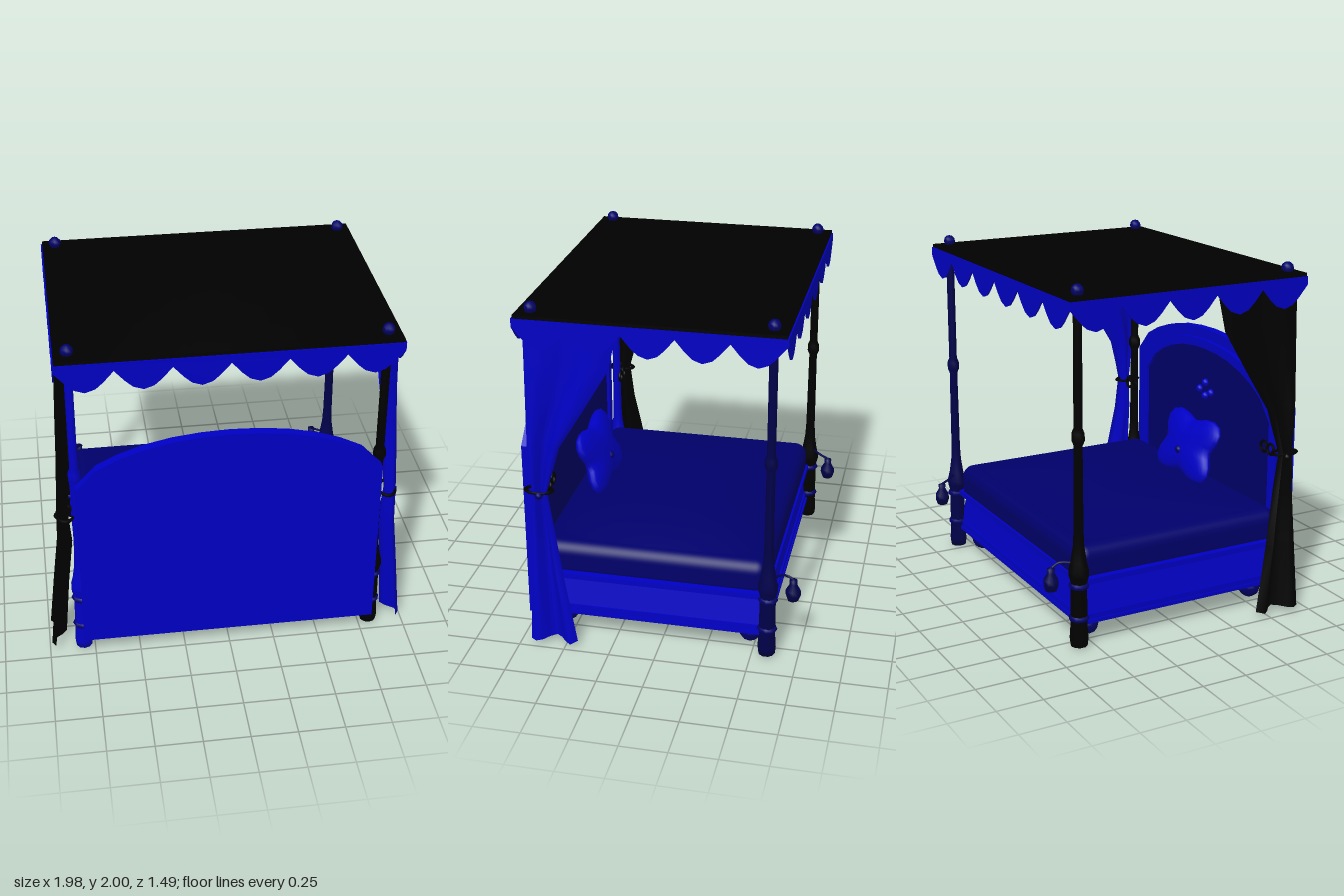
import * as THREE from 'three';
import { RoundedBoxGeometry } from 'three/addons/geometries/RoundedBoxGeometry.js';

export function createModel() {
  const group = new THREE.Group();
  const material = (name, color, side = THREE.FrontSide) => {
    const m = new THREE.MeshStandardMaterial({ color, side });
    m.name = name;
    return m;
  };
  const blue = material('royal blue', 0x0000c4, THREE.DoubleSide);
  const navy = material('navy', 0x00006a);
  const darkNavy = material('dark navy', 0x00004a);
  const black = material('black', 0x000000, THREE.DoubleSide);

  const add = (name, geo, mat, x = 0, y = 0, z = 0) => {
    const m = new THREE.Mesh(geo, mat);
    m.name = name;
    m.position.set(x, y, z);
    group.add(m);
    return m;
  };
  const lathe = (pts, n = 10) => new THREE.LatheGeometry(pts.map(p => new THREE.Vector2(...p)), n);
  const extrude = (shape, depth) => new THREE.ExtrudeGeometry(shape, { depth, bevelEnabled: false });

  // Sheet from a grid: f(u, v) gives a point
  const sheet = (nu, nv, f) => {
    const g = new THREE.PlaneGeometry(1, 1, nu, nv);
    const p = g.attributes.position;
    for (let i = 0; i < p.count; i++) p.setXYZ(i, ...f(p.getX(i) + 0.5, 0.5 - p.getY(i)));
    g.computeVertexNormals();
    return g;
  };

  // Rectangular ring lying flat
  const ring = (name, hx, hz, y0, y1, t, mat, cz) => {
    const rect = (C, a, b) => new C([[-a, -b], [a, -b], [a, b], [-a, b]].map(p => new THREE.Vector2(...p)));
    const s = rect(THREE.Shape, hx, hz);
    s.holes.push(rect(THREE.Path, hx - t, hz - t));
    const g = extrude(s, y1 - y0);
    g.rotateX(-Math.PI / 2);
    return add(name, g, mat, 0, y0, cz);
  };

  // Headboard with arched top
  const arch = [[0.81, 1.11], [0.765, 1.155], [0.7, 1.225], [0.58, 1.285], [0.45, 1.33], [0.3, 1.363], [0.15, 1.38], [0, 1.386]];
  const archPoints = (sx, dy, y0) => {
    const right = [[0.81, y0], ...arch.map(([x, y]) => [x, y - dy])].map(([x, y]) => [x * sx, y]);
    const left = right.slice(0, -1).reverse().map(([x, y]) => [-x, y]);
    return [...right, ...left].map(p => new THREE.Vector2(...p));
  };
  add('headboard', extrude(new THREE.Shape(archPoints(1, 0, 0.1)), 0.05), blue, 0, 0, 0.697);
  const frame = new THREE.Shape(archPoints(0.9, 0.06, 0.36));
  frame.holes.push(new THREE.Path(archPoints(0.83, 0.11, 0.42)));
  add('headboardFrame', extrude(frame, 0.025), blue, 0, 0, 0.672);
  add('headboardPanel', extrude(new THREE.Shape(archPoints(0.84, 0.105, 0.4)), 0.008), navy, 0, 0, 0.689);
  for (const [x, y] of [[-0.06, 1.02], [0.06, 1.02], [0, 1.07], [0, 0.99]]) {
    add('headboardRosette', new THREE.SphereGeometry(0.024, 8, 6), blue, x, y, 0.684);
  }

  // Bed frame: moulded rails with sloping panels, open underneath
  const cz = 0.06;
  ring('bottomMoulding', 0.82, 0.64, 0.12, 0.14, 0.06, blue, cz);
  ring('bottomMouldingStep', 0.81, 0.63, 0.14, 0.17, 0.05, blue, cz);
  const slope = new THREE.CylinderGeometry(0.765 * Math.SQRT2, 0.8 * Math.SQRT2, 0.17, 4, 1, true, Math.PI / 4).toNonIndexed();
  slope.scale(1, 1, 0.775);
  slope.computeVertexNormals();
  add('railPanel', slope, blue, 0, 0.255, cz);
  ring('topMoulding', 0.82, 0.64, 0.34, 0.37, 0.08, blue, cz);
  ring('mattressSupport', 0.75, 0.57, 0.3, 0.32, 0.12, navy, cz);
  ring('mattressSupportLip', 0.63, 0.45, 0.3, 0.32, 0.03, black, cz);

  // Mattress with a domed top
  add('mattress', new RoundedBoxGeometry(1.57, 0.21, 1.26, 5, 0.07), navy, 0, 0.425, cz);
  add('mattressCover', sheet(14, 12, (u, v) => {
    const a = 2 * u - 1, b = 2 * v - 1;
    return [a * 0.735, 0.525 + 0.06 * (1 - a ** 4) * (1 - b * b), cz + b * 0.58];
  }), navy);

  // Cushion with pinched corners, leaning on the headboard
  const cushion = new THREE.SphereGeometry(1, 32, 16);
  const cp = cushion.attributes.position;
  for (let i = 0; i < cp.count; i++) {
    const x = cp.getX(i), y = cp.getY(i), z = cp.getZ(i);
    const k = 0.205 + 0.11 * Math.abs(Math.sin(2 * Math.atan2(y, x))) ** 2;
    cp.setXYZ(i, x * k * 1.08, y * k * 0.75, z * 0.065);
  }
  cushion.computeVertexNormals();
  add('cushion', cushion, blue, -0.02, 0.71, 0.56).rotation.x = 0.35;
  add('cushionButton', new THREE.SphereGeometry(0.025, 8, 6), navy, -0.02, 0.69, 0.495);

  // Four posts, coloured by corner
  const postProfile = [[0, 0.01], [0.045, 0.01], [0.05, 0.05], [0.045, 0.12], [0.043, 0.36], [0.054, 0.4], [0.054, 0.43],
    [0.042, 0.48], [0.03, 0.56], [0.026, 0.64], [0.023, 1.1], [0.034, 1.125], [0.034, 1.165], [0.023, 1.19], [0.023, 1.85], [0, 1.85]];
  for (const x of [-0.81, 0.81]) {
    for (const z of [-0.58, 0.66]) {
      add('post', lathe(postProfile), x * z > 0 ? black : x < 0 ? blue : darkNavy, x, 0, z);
      add('finial', new THREE.SphereGeometry(0.034, 8, 6), navy, x, 1.89, z);
      for (const y of [0.165, 0.345]) {
        add('postBead', new THREE.SphereGeometry(0.056, 8, 6), navy, x, y, z).scale.y = 0.45;
      }
    }
    // Bun feet
    for (const z of [-0.47, 0.56]) {
      add('bunFoot', new THREE.SphereGeometry(0.062, 10, 8), navy, Math.sign(x) * 0.69, 0.065, z);
    }
    // Hanging lantern at the foot end
    const lx = Math.sign(x) * 0.74;
    const arm = new THREE.CatmullRomCurve3([[x, 0.47, -0.59], [lx, 0.46, -0.66], [lx, 0.44, -0.7]].map(p => new THREE.Vector3(...p)));
    add('lanternArm', new THREE.TubeGeometry(arm, 6, 0.007, 6), darkNavy);
    add('lantern', lathe([[0, 0.31], [0.03, 0.315], [0.042, 0.35], [0.04, 0.375], [0.02, 0.41], [0.022, 0.435], [0, 0.445]], 8),
      darkNavy, lx, 0, -0.705);
  }

  // Canopy roof: ridged across x, bowed along z
  const mid = 0.04, hx = 0.88, hz = 0.695;
  add('canopyRoof', sheet(8, 4, (u, v) => {
    const a = 2 * u - 1, b = 2 * v - 1;
    return [a * hx, 1.868 + 0.132 * (1 - Math.abs(a)) * Math.cos(b * Math.PI / 2), mid + b * hz];
  }), black);
  ring('canopyEdge', hx, hz, 1.848, 1.868, 0.03, black, mid);
  ring('canopyFrame', 0.85, 0.665, 1.83, 1.862, 0.07, black, mid);

  // Scalloped valance
  const valance = (length, count) => {
    const s = new THREE.Shape(), w = length / count;
    s.moveTo(-length / 2, 1.85);
    for (let i = 0; i < count; i++) {
      for (const [t, y] of [[0, 1.805], [0.18, 1.745], [0.32, 1.708], [0.5, 1.69], [0.68, 1.708], [0.82, 1.745]]) {
        s.lineTo(-length / 2 + (i + t) * w, y);
      }
    }
    s.lineTo(length / 2, 1.805);
    s.lineTo(length / 2, 1.85);
    return extrude(s, 0.008);
  };
  for (const s of [-1, 1]) {
    add('endValance', valance(2 * hx, 6), blue, 0, 0, mid + s * (hz + 0.004) - 0.004);
    add('sideValance', valance(2 * hz, 5), blue, s * (hx + 0.004) - 0.004, 0, mid).rotation.y = Math.PI / 2;
  }

  // Draped curtains: rows of [y, z near foot, z near head, x, pleat depth]
  const rows = [[1.83, 0.2, 0.69, 0.852, 0.016], [1.6, 0.25, 0.69, 0.856, 0.02], [1.38, 0.38, 0.69, 0.862, 0.026],
    [1.15, 0.52, 0.69, 0.868, 0.031], [0.9, 0.59, 0.67, 0.885, 0.03], [0.7, 0.565, 0.675, 0.88, 0.04],
    [0.4, 0.51, 0.68, 0.912, 0.04], [0.03, 0.435, 0.69, 0.945, 0.043]];
  const folds = [0, 1, 0.4, -0.5, -1, -0.4, 0.6, 1, 0.5];
  const n = folds.length - 1;
  for (const s of [-1, 1]) {
    add('curtain', sheet(n, rows.length - 1, (u, v) => {
      const [y, z0, z1, x, d] = rows[Math.round(v * (rows.length - 1))];
      return [s * (x + folds[Math.round(u * n)] * d), y, z0 + (z1 - z0) * u];
    }), s > 0 ? blue : black);
    // Tieback cord, knob and bow
    const cord = add('tieback', new THREE.TorusGeometry(0.045, 0.008, 6, 16), black, s * 0.868, 0.893, 0.64);
    cord.rotation.x = Math.PI / 2;
    cord.scale.y = 1.6;
    add('tiebackKnob', new THREE.SphereGeometry(0.022, 8, 6), s > 0 ? navy : black, s * 0.908, 0.88, 0.63);
    for (const x of [0.72, 0.785]) {
      add('tiebackBow', new THREE.TorusGeometry(0.03, 0.008, 6, 12), black, s * x, 0.89, 0.61);
    }
  }
  return group;
}
